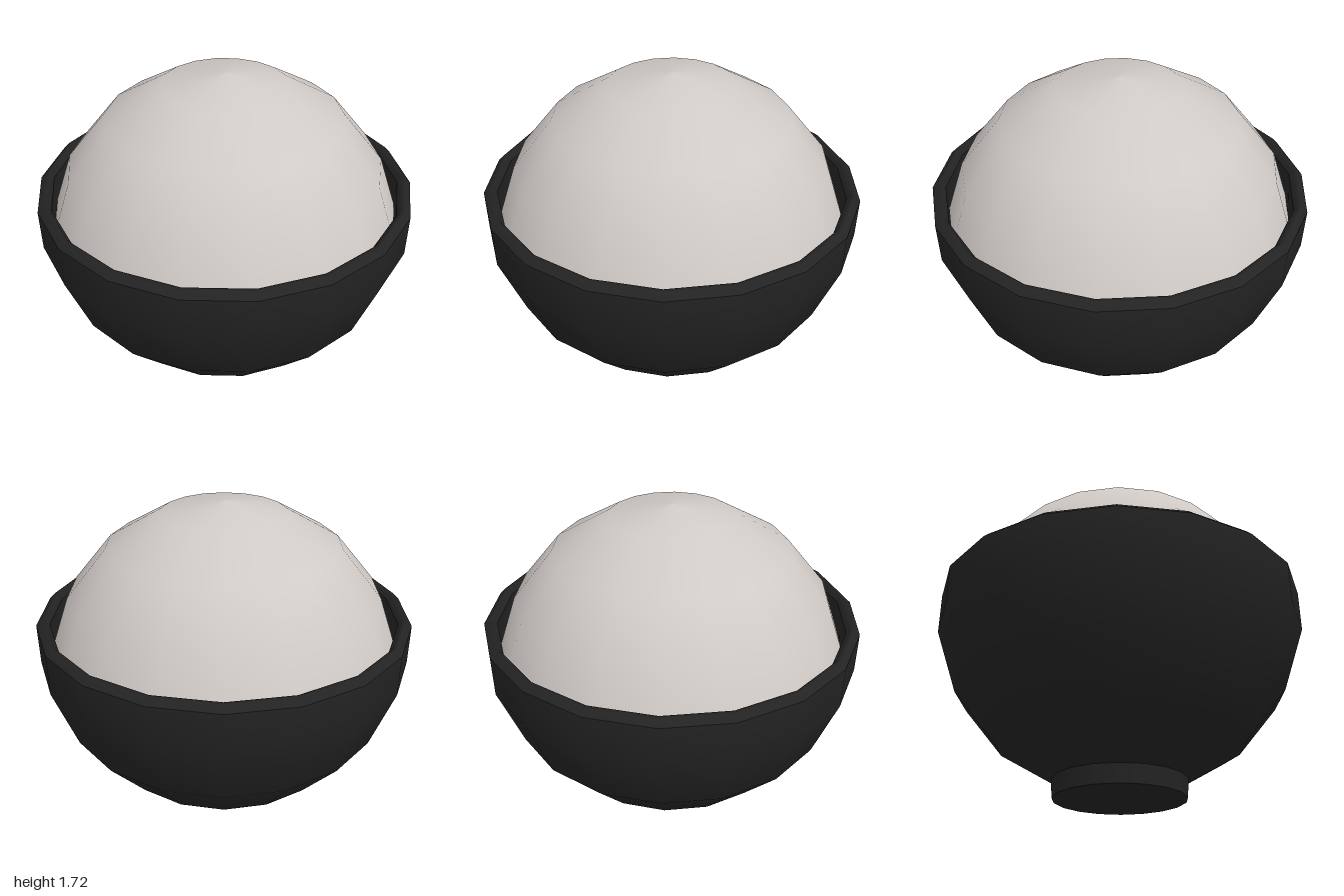
import * as THREE from 'three';

const SIDES = 18;

export function createModel() {
  const model = new THREE.Group();
  const lacquer = new THREE.MeshStandardMaterial({ color: 0x232323 });
  lacquer.name = 'black lacquer';
  const rice = new THREE.MeshStandardMaterial({ color: 0xd0cac6 });
  rice.name = 'warm white rice';

  // Turned part from [radius, height] points, listed bottom to top on the outside
  const turn = (name, material, points) => {
    const profile = points.map(([r, y]) => new THREE.Vector2(r, y));
    const mesh = new THREE.Mesh(new THREE.LatheGeometry(profile, SIDES), material);
    mesh.name = name;
    model.add(mesh);
  };

  // Foot ring with a flat closed base
  const foot = new THREE.Mesh(new THREE.CylinderGeometry(0.355, 0.35, 0.1, SIDES), lacquer);
  foot.name = 'foot';
  foot.position.y = 0.05;
  model.add(foot);

  // Bowl: outer wall, bevelled rim, inner wall
  turn('bowlOuter', lacquer, [[0.35, 0.095], [0.655, 0.27], [0.88, 0.54], [1, 0.88], [1, 1.1]]);
  turn('bowlRim', lacquer, [[1, 1.1], [0.97, 1.13], [0.95, 1.13], [0.93, 1.1]]);
  turn('bowlInner', lacquer, [[0.93, 1.1], [0.93, 0.89], [0.82, 0.58], [0.61, 0.33], [0, 0.2]]);

  // Rice: faceted dome resting against the inner wall
  const R = 0.955, centreY = 0.767;
  const dome = [];
  for (let deg = 80; deg >= 0; deg -= 20) {
    const a = THREE.MathUtils.degToRad(deg);
    dome.push([R * Math.sin(a), centreY + R * Math.cos(a)]);
  }
  turn('riceMound', rice, dome);

  return model;
}
